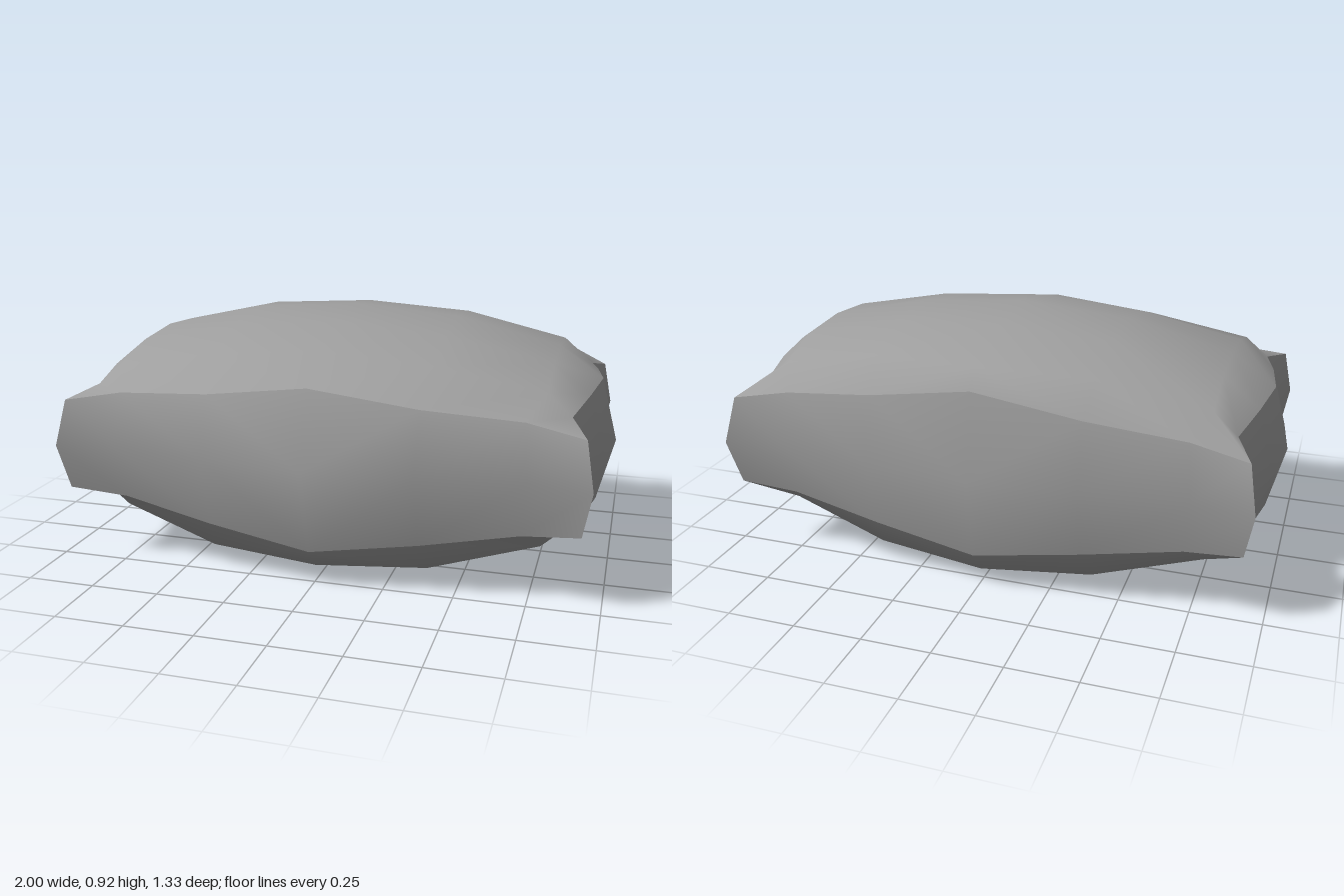
import * as THREE from 'three';

const material = new THREE.MeshStandardMaterial({ color: 0x9e9e9e, side: THREE.DoubleSide });

// Smooth surface through a grid of points; u runs right, v runs up when seen from outside.
// The quads are split the mirrored way left and right of the middle.
function gridMesh(name, nu, nv, point) {
  const pos = [], index = [];
  for (let v = 0; v < nv; v++) for (let u = 0; u < nu; u++) pos.push(...point(u, v));
  for (let v = 0; v < nv - 1; v++) {
    for (let u = 0; u < nu - 1; u++) {
      const a = v * nu + u, b = a + 1, c = a + nu, d = c + 1;
      if (u >= (nu - 1) / 2) index.push(a, b, d, a, d, c);
      else index.push(a, b, c, b, d, c);
    }
  }
  const geo = new THREE.BufferGeometry();
  geo.setAttribute('position', new THREE.Float32BufferAttribute(pos, 3));
  geo.setIndex(index);
  geo.computeVertexNormals();
  const mesh = new THREE.Mesh(geo, material);
  mesh.name = name;
  return mesh;
}

// Half columns from the middle (0) to the side (3); rows from front (0) to back (6)
const edgeX = [0, 0.38, 0.725, 0.925];
const innerX = [0, 0.4, 0.78];
const frontZ = [0.57, 0.54, 0.505, 0.55];
const backZ = [-0.605, -0.585, -0.545, -0.58];
const sideX = [0.925, 0.865, 0.91, 0.94, 0.91, 0.865, 0.925];
const sideZ = [0.55, 0.4, 0.18, -0.04, -0.25, -0.45, -0.58];
const sideRise = [0.62, 0.65, 0.675, 0.686, 0.675, 0.65, 0.62];

const top = {
  front: [0.73, 0.676, 0.65, 0.62],
  back: [0.76, 0.695, 0.65, 0.62],
  z: [[0.41, 0.18, -0.04, -0.27, -0.56], [0.39, 0.18, -0.04, -0.27, -0.5], [0.39, 0.18, -0.04, -0.26, -0.44]],
  y: [[0.825, 0.886, 0.92, 0.895, 0.83], [0.79, 0.856, 0.889, 0.87, 0.81], [0.725, 0.78, 0.8, 0.785, 0.725]],
};
const bottom = {
  front: [0.142, 0.196, 0.256, 0.288],
  back: [0.145, 0.205, 0.256, 0.288],
  z: [[0.49, 0.2, -0.04, -0.28, -0.535], [0.46, 0.19, -0.04, -0.27, -0.5], [0.39, 0.18, -0.04, -0.26, -0.44]],
  y: [[0.06, 0.015, 0, 0.01, 0.055], [0.083, 0.038, 0.025, 0.038, 0.083], [0.18, 0.125, 0.11, 0.125, 0.18]],
};

// Point on the top or bottom cover
function coverPoint(cover, i, row) {
  const c = Math.abs(i), s = Math.sign(i);
  if (c === 3) return [s * sideX[row], cover === top ? sideRise[row] : 0.908 - sideRise[row], sideZ[row]];
  if (row === 0) return [s * edgeX[c], cover.front[c], frontZ[c]];
  if (row === 6) return [s * edgeX[c], cover.back[c], backZ[c]];
  return [s * innerX[c], cover.y[c][row - 1], cover.z[c][row - 1]];
}

// Middle line of the band between the covers
const midX = [0, 0.38, 0.74, 0.955];
const midFrontZ = [0.665, 0.615, 0.56, 0.585];
const midBackZ = [-0.665, -0.64, -0.585, -0.62];
const midSideX = [0.955, 0.915, 0.967, 1, 0.967, 0.915, 0.955];
const midSideZ = [0.585, 0.42, 0.2, -0.04, -0.25, -0.46, -0.62];

function midPoint(i, row) {
  const c = Math.abs(i), s = Math.sign(i);
  if (c === 3) return [s * midSideX[row], 0.455, midSideZ[row]];
  return [s * midX[c], row === 0 ? 0.463 : 0.455, row === 0 ? midFrontZ[c] : midBackZ[c]];
}

function bandPoint(i, row, v) {
  return v === 1 ? midPoint(i, row) : coverPoint(v === 0 ? bottom : top, i, row);
}

export function createModel() {
  const pillow = new THREE.Group();
  pillow.name = 'pillow';

  // Puffed covers
  pillow.add(gridMesh('topCover', 7, 7, (u, v) => coverPoint(top, u - 3, v)));
  pillow.add(gridMesh('bottomCover', 7, 7, (u, v) => coverPoint(bottom, 3 - u, v)));

  // Four band panels, creased where they meet
  pillow.add(gridMesh('frontPanel', 7, 3, (u, v) => bandPoint(u - 3, 0, v)));
  pillow.add(gridMesh('backPanel', 7, 3, (u, v) => bandPoint(3 - u, 6, v)));
  pillow.add(gridMesh('leftPanel', 7, 3, (u, v) => bandPoint(3, u, v)));
  pillow.add(gridMesh('rightPanel', 7, 3, (u, v) => bandPoint(-3, 6 - u, v)));

  return pillow;
}
